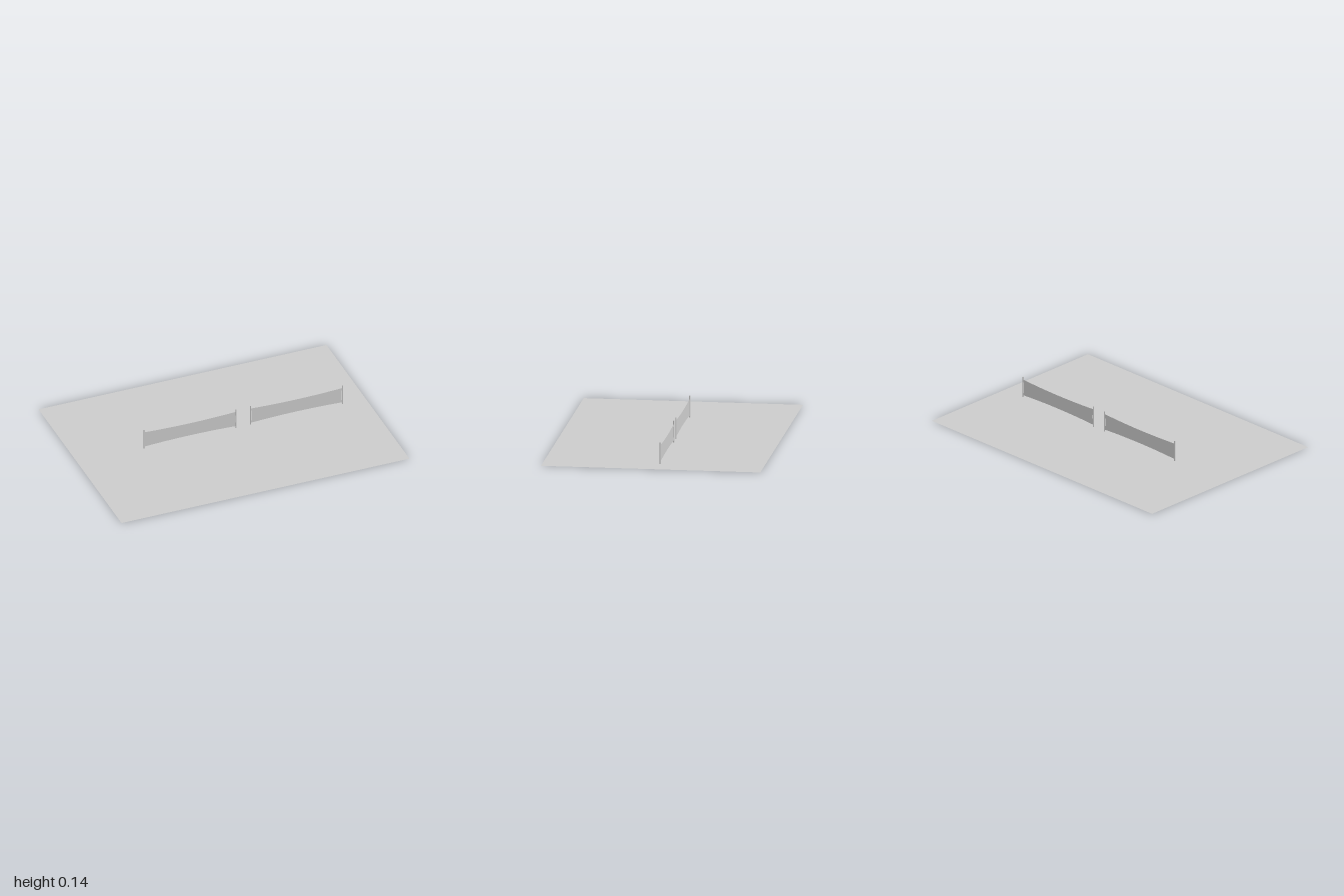
import * as THREE from 'three';

const grey = new THREE.MeshStandardMaterial({ color: 0xcccccc, side: THREE.DoubleSide });
const SPAN = 0.638, POST_H = 0.143, POST_R = 0.004;

function part(name, geometry, x = 0, y = 0, z = 0) {
  const mesh = new THREE.Mesh(geometry, grey);
  mesh.name = name;
  mesh.position.set(x, y, z);
  return mesh;
}

// Thin net pulled taut at its four corners, so every edge bows inward
function netGeometry() {
  const w = SPAN / 2 - 0.002, top = 0.122, bottom = 0.012, mid = (top + bottom) / 2;
  const s = new THREE.Shape();
  s.moveTo(-w, bottom);
  s.quadraticCurveTo(0, bottom + 0.017, w, bottom);
  s.quadraticCurveTo(w - 0.01, mid, w, top);
  s.quadraticCurveTo(0, top - 0.017, -w, top);
  s.quadraticCurveTo(-w + 0.01, mid, -w, bottom);
  return new THREE.ShapeGeometry(s, 16);
}

// One net between two round posts
function createNet(name, x) {
  const group = new THREE.Group();
  group.name = name;
  group.position.set(x, 0, -0.04);
  group.add(part('net', netGeometry()));
  for (const side of [-1, 1]) {
    const post = new THREE.CylinderGeometry(POST_R, POST_R, POST_H, 16);
    group.add(part(side < 0 ? 'rightPost' : 'leftPost', post, side * SPAN / 2, POST_H / 2));
  }
  return group;
}

export function createModel() {
  const model = new THREE.Group();
  model.name = 'courtWithNets';
  // Flat court floor
  model.add(part('courtFloor', new THREE.PlaneGeometry(2, 1.426).rotateX(-Math.PI / 2)));
  // Two nets side by side, off-centre on the court
  model.add(createNet('rightNet', -0.219), createNet('leftNet', 0.52));
  return model;
}
